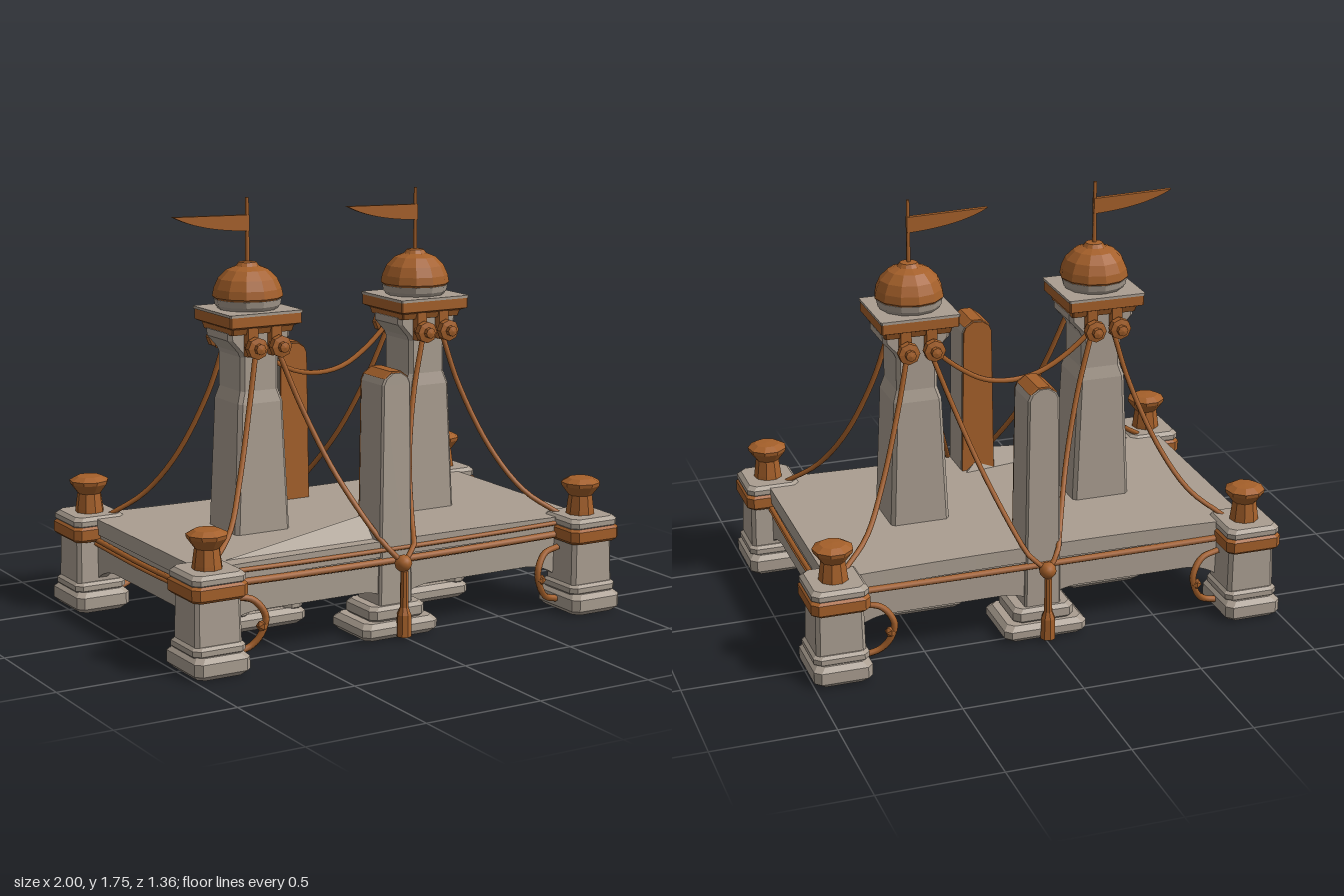
import * as THREE from 'three';

export function createModel() {
  const root = new THREE.Group();
  root.name = 'bridge';
  const stone = new THREE.MeshStandardMaterial({ color: 0xaa9e91 });
  stone.name = 'stone';
  const copper = new THREE.MeshStandardMaterial({ color: 0xa5602a });
  copper.name = 'copper';

  function add(parent, name, geo, mat, x = 0, y = 0, z = 0) {
    const m = new THREE.Mesh(geo, mat);
    m.name = name;
    m.position.set(x, y, z);
    parent.add(m);
    return m;
  }

  // Flat-faced block through levels [y, halfX, halfZ] with chamfered corners
  function block(levels, c = 0.015) {
    const rings = levels.map(([y, a, b]) => [
      [a, -b + c], [a, b - c], [a - c, b], [-a + c, b],
      [-a, b - c], [-a, -b + c], [-a + c, -b], [a - c, -b],
    ].map(([x, z]) => [x, y, z]));
    const pos = [];
    const tri = (...p) => p.forEach((v) => pos.push(...v));
    const last = rings.length - 1;
    for (let j = 0; j < 8; j++) {
      const k = (j + 1) % 8;
      for (let i = 0; i < last; i++) {
        const a = rings[i][j], b = rings[i][k], d = rings[i + 1][j], e = rings[i + 1][k];
        tri(a, d, e);
        tri(a, e, b);
      }
      tri([0, levels[0][0], 0], rings[0][j], rings[0][k]);
      tri([0, levels[last][0], 0], rings[last][k], rings[last][j]);
    }
    const g = new THREE.BufferGeometry();
    g.setAttribute('position', new THREE.Float32BufferAttribute(pos, 3));
    g.computeVertexNormals();
    return g;
  }
  // Low-sided turned part with crisp facets
  function turned(profile, sides) {
    const g = new THREE.LatheGeometry(profile.map((p) => new THREE.Vector2(...p)), sides).toNonIndexed();
    g.computeVertexNormals();
    return g;
  }
  function rope(parent, name, pts, r = 0.011) {
    const curve = new THREE.CatmullRomCurve3(pts.map((p) => new THREE.Vector3(...p)));
    return add(parent, name, new THREE.TubeGeometry(curve, 20, r, 6), copper);
  }
  const slab = (a, b, y0, y1, e = 0.015) =>
    block([[y0, a - e, b - e], [y0 + e, a, b], [y1 - e, a, b], [y1, a - e, b - e]], 0.025);

  // Deck slab with gently curved long edges
  const plan = new THREE.Shape();
  plan.moveTo(-0.9, -0.53);
  plan.quadraticCurveTo(-0.6, -0.5, 0, -0.5);
  plan.quadraticCurveTo(0.6, -0.5, 0.9, -0.53);
  plan.lineTo(0.9, 0.53);
  plan.quadraticCurveTo(0.6, 0.5, 0, 0.5);
  plan.quadraticCurveTo(-0.6, 0.5, -0.9, 0.53);
  const deckGeo = new THREE.ExtrudeGeometry(plan, { depth: 0.065, bevelEnabled: false });
  deckGeo.rotateX(-Math.PI / 2);
  add(root, 'deck', deckGeo, stone, 0, 0.33, 0);

  // Narrow tilted plank leaning on the front pier
  const plankGeo = new THREE.BufferGeometry();
  const A = [-0.8, 0.39, 0.45], B = [0, 0.39, 0.45], C = [0.06, 0.39, 0.3], P = [-0.06, 0.48, 0.36];
  plankGeo.setAttribute('position', new THREE.Float32BufferAttribute([A, B, P, B, C, P, C, A, P].flat(), 3));
  plankGeo.computeVertexNormals();
  add(root, 'tiltedPlank', plankGeo, stone);

  // Arched beams under the deck
  function archBeam(len, arches, thick) {
    const s = new THREE.Shape();
    const w = len / arches;
    s.moveTo(len / 2, 0.335);
    s.lineTo(-len / 2, 0.335);
    for (let i = 0; i < arches; i++) {
      const x = -len / 2 + i * w;
      s.lineTo(x, 0.13);
      s.quadraticCurveTo(x + w * 0.08, 0.185, x + w * 0.2, 0.19);
      s.lineTo(x + w * 0.8, 0.19);
      s.quadraticCurveTo(x + w * 0.92, 0.185, x + w, 0.13);
    }
    const g = new THREE.ExtrudeGeometry(s, { depth: thick, bevelEnabled: false });
    return g.translate(0, 0, -thick / 2);
  }
  // Edge rope following the curve of the deck
  const edgeRope = (s, y, r) => rope(root, 'longRope', [[-0.78, y + 0.008, s * 0.522], [-0.45, y, s * 0.51],
    [0, y - 0.004, s * 0.503], [0.45, y, s * 0.51], [0.78, y + 0.008, s * 0.522]], r);
  for (const s of [1, -1]) {
    add(root, 'longBeam', archBeam(1.6, 2, 0.05), stone, 0, 0, s * 0.465);
    add(root, 'endBeam', archBeam(0.9, 1, 0.04), stone, s * 0.87, 0, 0).rotation.y = Math.PI / 2;
    edgeRope(s, 0.315, 0.015);
    add(root, 'innerLongTrim', new THREE.BoxGeometry(1.55, 0.1, 0.008), copper, 0, 0.265, s * 0.437);
    add(root, 'innerEndTrim', new THREE.BoxGeometry(0.008, 0.06, 0.85), copper, s * 0.847, 0.3, 0);
    for (const [y, r] of [[0.305, 0.011], [0.285, 0.008]])
      rope(root, 'endRope', [[s * 0.898, y, -0.46], [s * 0.9, y - 0.006, 0], [s * 0.898, y, 0.46]], r);
  }
  edgeRope(1, 0.363, 0.01);

  // Corner posts with bollards and rope hooks
  for (const sx of [1, -1]) for (const sz of [1, -1]) {
    const g = new THREE.Group();
    g.name = 'cornerPost';
    g.position.set(sx * 0.88, 0, sz * 0.537);
    root.add(g);
    add(g, 'postBase', slab(0.12, 0.143, 0, 0.088, 0.02), stone);
    add(g, 'postStep', slab(0.114, 0.118, 0.08, 0.125, 0.012), stone);
    add(g, 'postShaft', block([[0.12, 0.102, 0.1], [0.31, 0.098, 0.095]]), stone);
    add(g, 'postBand', slab(0.12, 0.128, 0.3, 0.367, 0.012), copper);
    add(g, 'postCap', slab(0.116, 0.122, 0.355, 0.405), stone);
    add(g, 'bollard', turned([[0, 0.39], [0.062, 0.39], [0.059, 0.42], [0.05, 0.485], [0.08, 0.525],
      [0.083, 0.54], [0.052, 0.557], [0, 0.56]], 9), copper);
    rope(root, 'ropeHook', [[sx * 0.77, 0.27, sz * 0.53], [sx * 0.69, 0.255, sz * 0.55], [sx * 0.645, 0.19, sz * 0.57],
      [sx * 0.66, 0.12, sz * 0.565], [sx * 0.7, 0.07, sz * 0.55], [sx * 0.765, 0.05, sz * 0.54]], 0.014);
    add(root, 'hookKnot', new THREE.IcosahedronGeometry(0.024), copper, sx * 0.66, 0.15, sz * 0.567);
  }

  // Tall towers
  for (const tx of [-0.407, 0.393]) {
    const g = new THREE.Group();
    g.name = 'tower';
    g.position.x = tx;
    root.add(g);
    add(g, 'towerBase', slab(0.175, 0.178, 0, 0.07, 0.02), stone);
    for (const sx of [1, -1]) for (const sz of [1, -1])
      add(g, 'baseCorner', slab(0.043, 0.043, 0.06, 0.125, 0.01), stone, sx * 0.125, 0, sz * 0.125);
    add(g, 'towerShaft', block([[0.05, 0.13, 0.128], [0.4, 0.125, 0.125], [0.93, 0.102, 0.115], [0.98, 0.086, 0.105],
      [1.12, 0.086, 0.105], [1.14, 0.095, 0.105], [1.19, 0.14, 0.105], [1.22, 0.142, 0.105]]), stone);
    add(g, 'towerBand', block([[1.215, 0.138, 0.125], [1.24, 0.142, 0.135], [1.25, 0.163, 0.16],
      [1.295, 0.163, 0.16]], 0.005), copper);
    add(g, 'towerSlab', block([[1.292, 0.166, 0.164], [1.303, 0.166, 0.164]], 0.005), stone);
    add(g, 'domeRing', turned([[0.12, 1.3], [0.133, 1.318], [0.138, 1.343], [0, 1.343]], 12), stone);
    add(g, 'dome', turned([[0, 1.338], [0.13, 1.338], [0.144, 1.352], [0.138, 1.385], [0.12, 1.425], [0.085, 1.46],
      [0.047, 1.475], [0.036, 1.49], [0, 1.494]], 12), copper);
    add(g, 'flagPole', new THREE.CylinderGeometry(0.007, 0.009, 0.27, 6), copper, 0, 1.615, 0);

    // Tapering pennant flying to the side
    const f = new THREE.Shape();
    f.moveTo(0.006, 1.615);
    f.lineTo(0.006, 1.68);
    f.lineTo(-0.335, 1.688);
    f.quadraticCurveTo(-0.22, 1.625, 0.006, 1.615);
    const flagGeo = new THREE.ExtrudeGeometry(f, { depth: 0.02, bevelEnabled: false });
    add(g, 'flag', flagGeo, copper, 0, 0, -0.01);

    // Cable knobs and their brackets on the front and back faces
    for (const sz of [1, -1]) for (const dx of [-0.052, 0.056]) {
      const knob = add(g, 'cableKnob', turned([[0, 0], [0.032, 0], [0.032, 0.025], [0.045, 0.03], [0.045, 0.06],
        [0.022, 0.065], [0.022, 0.085], [0, 0.09]], 8), copper, dx, 1.165, sz * 0.125);
      knob.rotation.x = sz * Math.PI / 2;
      add(g, 'knobBracket', new THREE.BoxGeometry(0.045, 0.13, 0.04), copper, dx, 1.19, sz * 0.122);
    }

    // Cables to the corner posts and to the middle piers
    const s = Math.sign(tx);
    for (const sz of [1, -1]) {
      rope(root, 'outerCable', [[s * 0.445, 1.14, sz * 0.135], [s * 0.5, 0.93, sz * 0.18], [s * 0.6, 0.66, sz * 0.28],
        [s * 0.7, 0.49, sz * 0.385], [s * 0.82, 0.395, sz * 0.47]]);
      rope(root, 'innerCable', [[s * 0.345, 1.14, sz * 0.14], [s * 0.27, 0.92, sz * 0.19], [s * 0.18, 0.66, sz * 0.3],
        [s * 0.09, 0.43, sz * 0.47], [s * 0.06, 0.37, sz * 0.53], [-0.01, 0.31, sz * 0.56]]);
    }
  }
  rope(root, 'spanCable', [[-0.34, 1.15, -0.135], [-0.24, 1.065, -0.13], [-0.12, 1.0, -0.13], [0, 0.98, -0.13],
    [0.12, 1.0, -0.13], [0.23, 1.065, -0.13], [0.33, 1.15, -0.135]]);

  // Middle piers with copper inner faces, knots and tassels
  for (const sz of [1, -1]) {
    const g = new THREE.Group();
    g.name = 'middlePier';
    g.position.set(-0.008, 0, sz * 0.418);
    root.add(g);
    add(g, 'pierBase', slab(0.177, 0.142, 0, 0.07, 0.02), stone);
    add(g, 'pierStep', slab(0.13, 0.115, 0.065, 0.13), stone);
    add(g, 'pierShaft', block([[0.1, 0.078, 0.088], [1.03, 0.066, 0.086], [1.055, 0.054, 0.086],
      [1.075, 0.024, 0.086]], 0.008), stone);
    add(g, 'pierCap', block([[1.055, 0.059, 0.08], [1.082, 0.024, 0.08]], 0.006), copper);
    add(g, 'pierInnerFace', block([[0.38, 0.073, 0.004], [1.03, 0.063, 0.004], [1.055, 0.052, 0.004],
      [1.075, 0.022, 0.004]], 0.001), copper, 0, 0, -sz * 0.087);
    add(g, 'knot', new THREE.IcosahedronGeometry(0.036, 1), copper, 0, 0.31, sz * 0.14);
    add(g, 'tassel', turned([[0, 0.01], [0.032, 0.01], [0.03, 0.1], [0.018, 0.13], [0.016, 0.28], [0, 0.29]], 8),
      copper, 0, 0, sz * 0.148);
  }
  return root;
}
